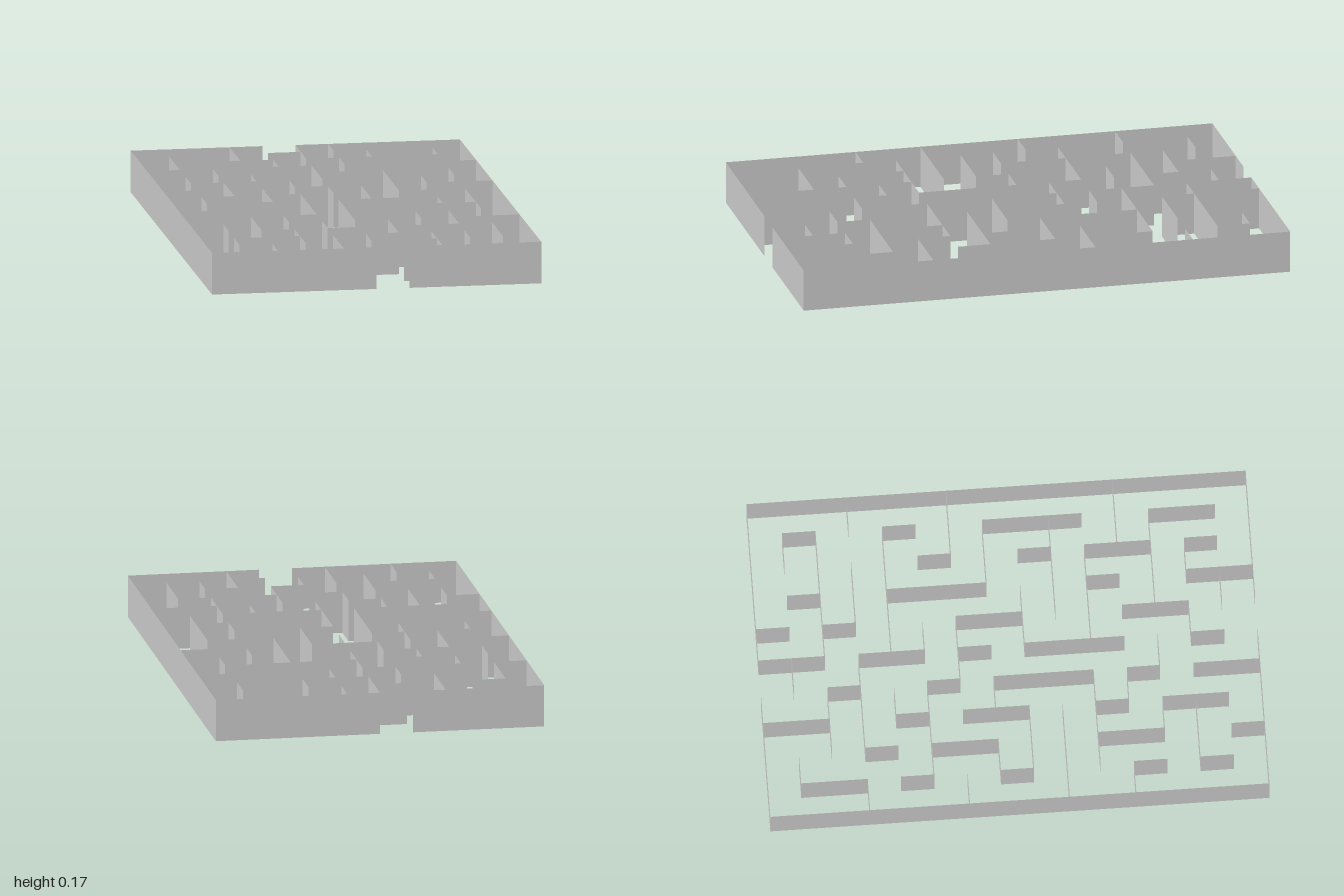
import * as THREE from 'three';

const CELL = 2 / 15;
const COLS = 10;
const ROWS = 15;
const HEIGHT = 0.17;

// Walls running along x: for each grid row, [start column, end column]
const rowWalls = [
  [[0, 4], [5, 10]],
  [[1, 2], [4, 5], [8, 9]],
  [[2, 4], [5, 9]],
  [[0, 1], [2, 5], [6, 8], [9, 10]],
  [[3, 4], [5, 9]],
  [[1, 4], [5, 6]],
  [[0, 1], [4, 6], [8, 10]],
  [[1, 2], [3, 4], [7, 9]],
  [[1, 3], [5, 7]],
  [[0, 3], [6, 9]],
  [[1, 4], [5, 8]],
  [[0, 1], [3, 4], [8, 10]],
  [[2, 3], [4, 5], [6, 9]],
  [[1, 3], [5, 6], [7, 8]],
  [[6, 7]],
  [[0, 5], [6, 10]],
];

// Walls running along z: for each grid column, [start row, end row]
const columnWalls = [
  [[0, 15]],
  [[1, 3], [4, 5], [7, 8], [11, 12], [13, 14]],
  [[3, 4], [5, 7], [10, 12], [14, 15]],
  [[0, 2], [4, 5], [6, 8], [10, 11], [12, 14]],
  [[2, 3], [5, 6], [7, 10], [11, 12], [13, 15]],
  [[0, 2], [3, 5], [6, 7], [8, 11], [13, 14]],
  [[0, 1], [2, 3], [6, 8], [11, 13]],
  [[1, 2], [4, 7], [10, 11], [13, 15]],
  [[5, 6], [8, 9], [10, 12], [13, 14]],
  [[1, 2], [4, 5], [7, 10], [12, 14]],
  [[0, 15]],
];

export function createModel() {
  const maze = new THREE.Group();
  maze.name = 'maze';
  const material = new THREE.MeshStandardMaterial({
    color: 0xcccccc, side: THREE.DoubleSide, flatShading: true,
  });
  const outer = new THREE.Group();
  outer.name = 'outerWalls';
  const inner = new THREE.Group();
  inner.name = 'innerWalls';
  maze.add(outer, inner);

  // One thin upright sheet between two grid points
  function addWall(parent, name, c0, r0, c1, r1) {
    const length = (c1 - c0 + r1 - r0) * CELL;
    const wall = new THREE.Mesh(new THREE.PlaneGeometry(length, HEIGHT), material);
    wall.name = name;
    wall.position.set(((c0 + c1) / 2 - COLS / 2) * CELL, HEIGHT / 2, ((r0 + r1) / 2 - ROWS / 2) * CELL);
    if (c0 === c1) wall.rotation.y = Math.PI / 2;
    parent.add(wall);
  }

  rowWalls.forEach((spans, r) => {
    const edge = r === 0 || r === ROWS;
    for (const [a, b] of spans) addWall(edge ? outer : inner, edge ? 'outerWall' : 'crossWall', a, r, b, r);
  });
  columnWalls.forEach((spans, c) => {
    const edge = c === 0 || c === COLS;
    for (const [a, b] of spans) addWall(edge ? outer : inner, edge ? 'outerWall' : 'lengthWall', c, a, c, b);
  });
  return maze;
}
